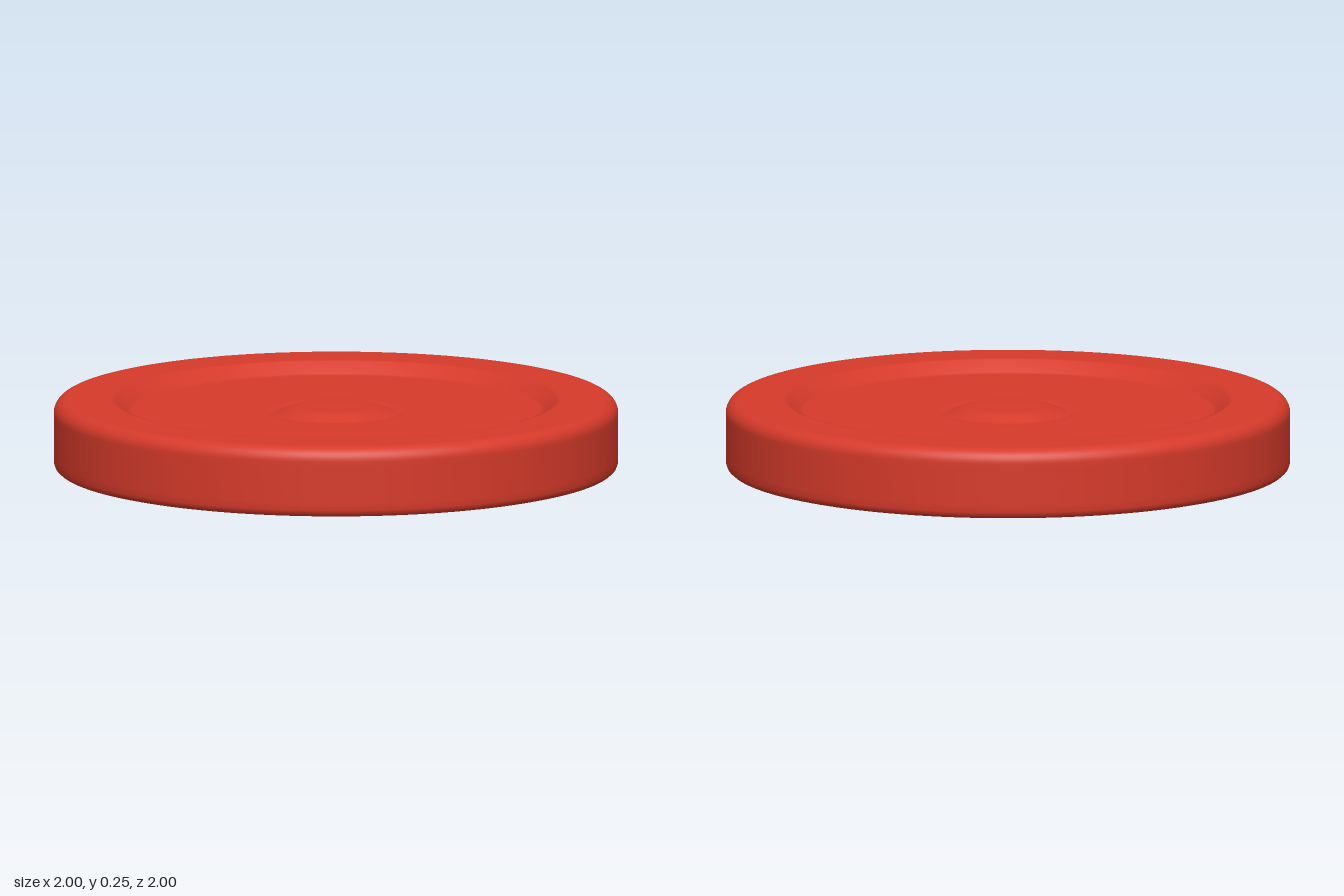
import * as THREE from 'three';
import { mergeVertices } from 'three/addons/utils/BufferGeometryUtils.js';

const SEGMENTS = 160;

// Revolve a profile of [radius, height] pairs with seamless smooth normals
function revolve(profile, deform) {
  const lathe = new THREE.LatheGeometry(profile.map(([r, y]) => new THREE.Vector2(r, y)), SEGMENTS);
  lathe.deleteAttribute('uv');
  lathe.deleteAttribute('normal');
  const geometry = mergeVertices(lathe, 1e-5);
  if (deform) deform(geometry.attributes.position);
  geometry.computeVertexNormals();
  return geometry;
}

// Points of a circular arc, angles in degrees
function arc(cx, cy, radius, from, to, steps) {
  return Array.from({ length: steps + 1 }, (_, i) => {
    const a = THREE.MathUtils.degToRad(from + (to - from) * i / steps);
    return [cx + radius * Math.cos(a), cy + radius * Math.sin(a)];
  });
}

// Press four lugs inwards from the curled lip
function pressLugs(position) {
  const firstLug = 0.9, quarter = Math.PI / 2;
  for (let i = 0; i < position.count; i++) {
    const x = position.getX(i), y = position.getY(i), z = position.getZ(i);
    const r = Math.hypot(x, z);
    if (y > 0.06 || r > 0.968) continue;
    const turn = Math.atan2(z, x) - firstLug;
    const offset = Math.abs(turn - Math.round(turn / quarter) * quarter);
    const press = 0.03 * (1 - THREE.MathUtils.smoothstep(offset, 0.17, 0.24));
    const s = (r - press) / r;
    position.setXYZ(i, x * s, y, z * s);
  }
}

// Stepped panel with a shallow groove around a raised centre button,
// listed from the outside in
const panel = [
  [0.795, 0.25], [0.78, 0.247], [0.738, 0.209], [0.728, 0.205],
  [0.7, 0.205], [0.26, 0.205], [0.242, 0.2035], [0.226, 0.199], [0.214, 0.1985],
  [0.2, 0.203], [0.17, 0.217], [0.145, 0.224], [0.12, 0.226], [0, 0.226],
];

export function createModel() {
  const lid = new THREE.Group();
  lid.name = 'jarLid';

  const paint = new THREE.MeshStandardMaterial({ color: 0xd63a2a });
  paint.name = 'red paint';
  const sealant = new THREE.MeshStandardMaterial({ color: 0xc4bdaa });
  sealant.name = 'pale sealant';
  const lacquer = new THREE.MeshStandardMaterial({ color: 0xd4ccb9 });
  lacquer.name = 'cream lacquer';

  const add = (name, geometry, material) => {
    const mesh = new THREE.Mesh(geometry, material);
    mesh.name = name;
    lid.add(mesh);
  };

  // Outer shell: curled lip, skirt, rounded shoulder and top panel
  add('outerShell', revolve([
    [0.972, 0.05], [0.96, 0.049], [0.949, 0.04], [0.945, 0.026], [0.951, 0.011],
    [0.963, 0.002], [0.974, 0], [0.986, 0.003], [0.995, 0.011], [1, 0.025], [1, 0.05], [1, 0.18],
    ...arc(0.95, 0.2, 0.05, 0, 90, 8),
    [0.93, 0.25], ...panel,
  ], pressLugs), paint);

  // Underside: follows the panel, then steps down to a sealing ring at the wall
  const underside = panel.map(([r, y]) => [r, y - 0.012]).reverse();
  add('sealingLiner', revolve([
    ...underside,
    [0.835, 0.236], [0.845, 0.232], [0.865, 0.209], [0.875, 0.205],
    [0.915, 0.2], [0.94, 0.192], [0.966, 0.18],
  ]), sealant);

  // Inner face of the skirt
  add('innerWall', revolve([[0.966, 0.18], [0.966, 0.12], [0.966, 0.045]]), lacquer);

  return lid;
}
